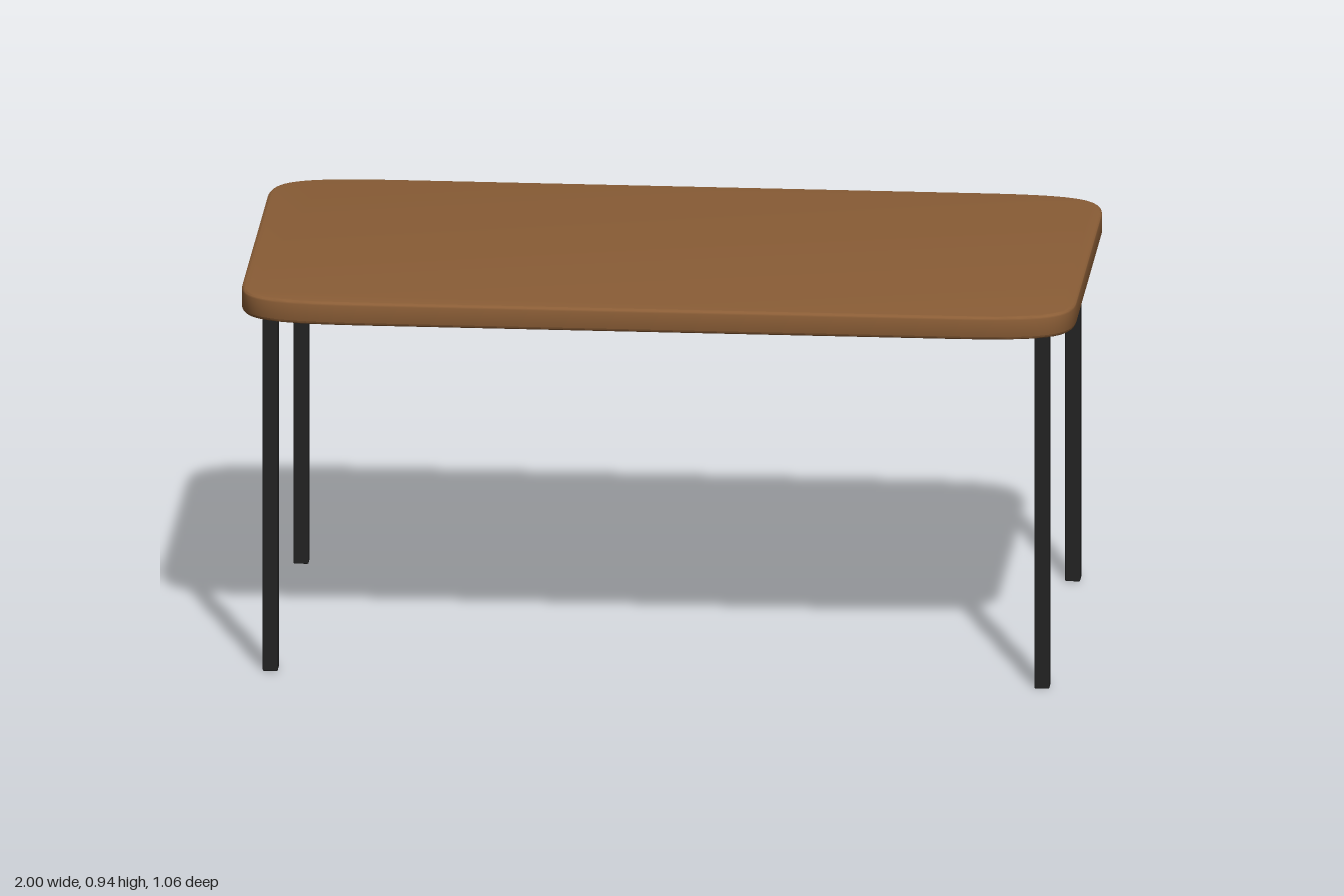
import * as THREE from 'three';
import { toCreasedNormals } from 'three/addons/utils/BufferGeometryUtils.js';
import { RoundedBoxGeometry } from 'three/addons/geometries/RoundedBoxGeometry.js';

const HALF_X = 1, HALF_Z = 0.53;      // tabletop half sizes
const BOTTOM = 0.88, TOP = 0.937;     // tabletop heights
const BEVEL = 0.008;

// Rectangle whose corners are long, soft curves
function tabletopShape() {
  const cx = 0.3, cz = 0.16, pull = 0.2;
  const s = new THREE.Shape();
  const corner = (sx, sz, startsOnSide) => {
    const side = [sx * HALF_X, sz * (HALF_Z - cz)];
    const sideCtrl = [sx * HALF_X, sz * (HALF_Z - cz * pull)];
    const edge = [sx * (HALF_X - cx), sz * HALF_Z];
    const edgeCtrl = [sx * (HALF_X - cx * pull), sz * HALF_Z];
    const p = startsOnSide ? [side, sideCtrl, edgeCtrl, edge] : [edge, edgeCtrl, sideCtrl, side];
    if (sx > 0 && sz > 0) s.moveTo(...p[0]);
    else s.lineTo(...p[0]);
    s.bezierCurveTo(...p[1], ...p[2], ...p[3]);
  };
  corner(1, 1, true);
  corner(-1, 1, false);
  corner(-1, -1, true);
  corner(1, -1, false);
  s.closePath();
  return s;
}

export function createModel() {
  const wood = new THREE.MeshStandardMaterial({ name: 'brown wood', color: 0x8a5d36 });
  const metal = new THREE.MeshStandardMaterial({ name: 'black metal', color: 0x222222 });
  const table = new THREE.Group();
  table.name = 'table';

  // Tabletop slab with softened rims
  const slab = new THREE.ExtrudeGeometry(tabletopShape(), {
    depth: TOP - BOTTOM - 2 * BEVEL,
    bevelSize: BEVEL, bevelThickness: BEVEL, bevelOffset: -BEVEL, bevelSegments: 3,
    curveSegments: 16,
  });
  slab.rotateX(-Math.PI / 2);
  slab.translate(0, BOTTOM + BEVEL, 0);
  const top = new THREE.Mesh(toCreasedNormals(slab, 0.7), wood);
  top.name = 'tabletop';
  table.add(top);

  // Four square legs
  const legHeight = BOTTOM + 0.005;
  const legGeometry = new RoundedBoxGeometry(0.036, legHeight, 0.037, 2, 0.003);
  for (const [end, sx] of [['left', 1], ['right', -1]]) {
    for (const [face, sz] of [['front', 1], ['back', -1]]) {
      const leg = new THREE.Mesh(legGeometry, metal);
      leg.name = `${face} ${end} leg`;
      leg.position.set(sx * 0.925, legHeight / 2, sz * 0.457);
      table.add(leg);
    }
  }
  return table;
}
